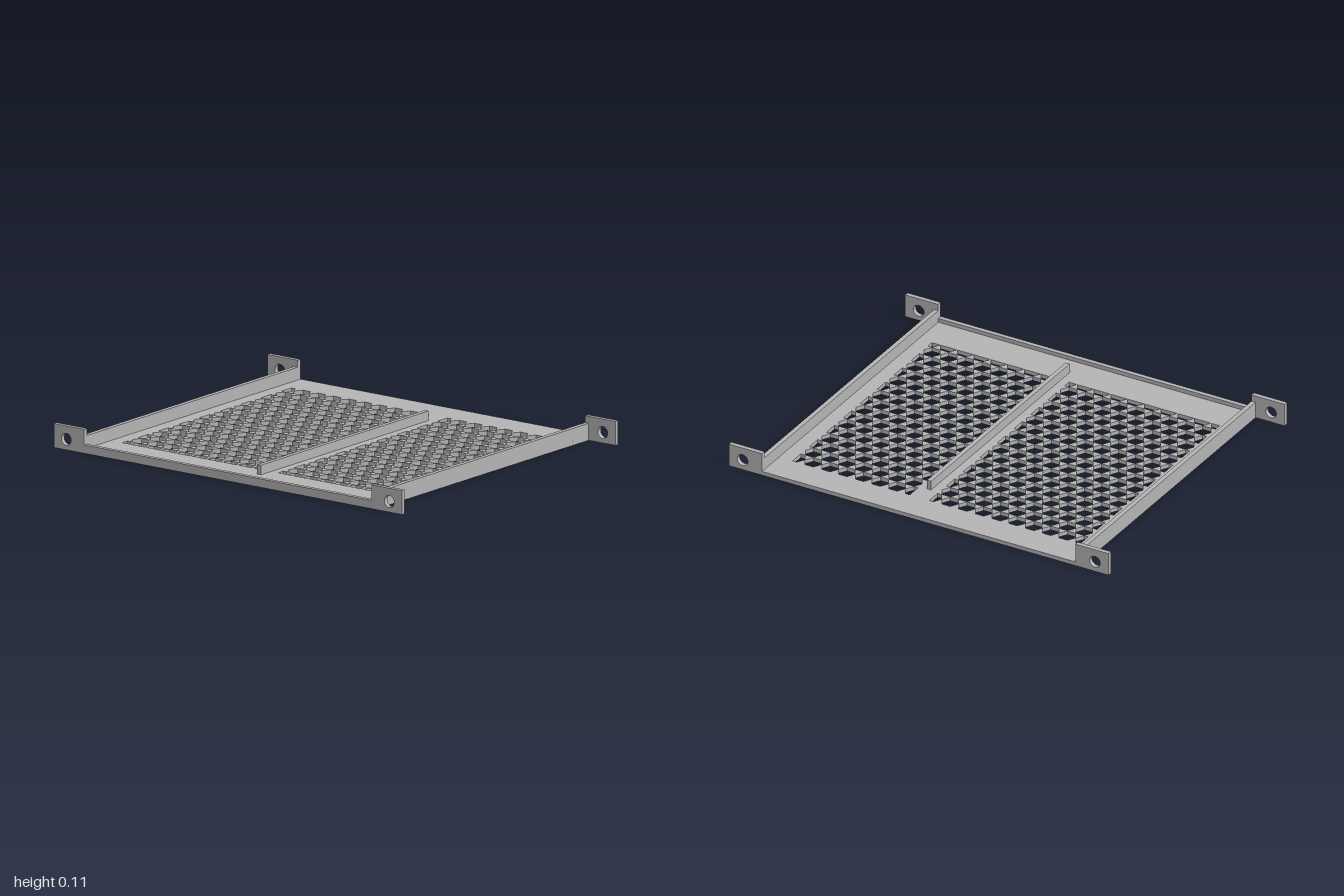
import * as THREE from 'three';

const PITCH = 0.0882;               // hexagon spacing along x
const ROW = PITCH * Math.sqrt(3) / 2; // spacing between rows along z
const THICK = 0.02;
const OUT_X = 0.847, IN_X = 0.825, OUT_Z = 0.806;

export function createModel() {
  const group = new THREE.Group();
  const metal = new THREE.MeshStandardMaterial({ color: 0xb4b4b4 });
  metal.name = 'grey metal';

  const add = (name, geometry) => {
    const mesh = new THREE.Mesh(geometry, metal);
    mesh.name = name;
    group.add(mesh);
    return mesh;
  };
  const box = (name, x0, x1, y0, y1, z0, z1) =>
    add(name, new THREE.BoxGeometry(x1 - x0, y1 - y0, z1 - z0))
      .position.set((x0 + x1) / 2, (y0 + y1) / 2, (z0 + z1) / 2);
  const rect = (x0, x1, y0, y1) => new THREE.Shape([
    new THREE.Vector2(x0, y0), new THREE.Vector2(x1, y0),
    new THREE.Vector2(x1, y1), new THREE.Vector2(x0, y1)]);

  // Perforated base plate, drawn in x and -z, then laid flat
  const plate = rect(-OUT_X, OUT_X, -OUT_Z, OUT_Z);
  const firstZ = -0.615, lastZ = firstZ + 16 * ROW;
  const perforate = (x0, columns) => {
    const x1 = x0 + columns * PITCH;
    for (let row = 0; row <= 16; row++) {
      const inset = row % 2 ? 0.5 : 0;
      for (let c = inset; c <= columns - inset; c++) {
        const points = [];
        for (let k = 0; k < 6; k++) {
          const a = k * Math.PI / 3, r = PITCH * 0.488;
          // hexagons are cut off at the panel borders
          const x = THREE.MathUtils.clamp(x0 + c * PITCH + r * Math.cos(a), x0, x1);
          const z = Math.min(firstZ + row * ROW + r * Math.sin(a), lastZ);
          const p = new THREE.Vector2(x, -z);
          if (!points.some(q => q.distanceTo(p) < 1e-5)) points.push(p);
        }
        plate.holes.push(new THREE.Path(points));
      }
    }
  };
  perforate(-0.76, 9);
  perforate(0.137, 7);
  const plateGeometry = new THREE.ExtrudeGeometry(plate, { depth: THICK, bevelEnabled: false });
  plateGeometry.rotateX(-Math.PI / 2);
  add('perforatedPlate', plateGeometry);

  // Off-centre rib and front lip
  box('rib', 0.075, 0.097, THICK, 0.065, -0.565, 0.686);
  box('frontLip', -IN_X, IN_X, THICK, 0.04, OUT_Z - 0.022, OUT_Z);

  // Side walls and the drilled mounting tabs at the corners
  for (const side of [-1, 1]) {
    const w = [side * IN_X, side * OUT_X].sort((a, b) => a - b);
    box(side > 0 ? 'leftWall' : 'rightWall', w[0], w[1], THICK, 0.08, -OUT_Z + 0.022, OUT_Z - 0.022);
    const t = [side * IN_X, side].sort((a, b) => a - b);
    for (const end of [-1, 1]) {
      const tab = rect(t[0], t[1], 0, 0.113);
      const hole = new THREE.Path();
      hole.absarc(side * 0.928, 0.05, 0.028, 0, Math.PI * 2, true);
      tab.holes.push(hole);
      const geometry = new THREE.ExtrudeGeometry(tab, { depth: 0.022, bevelEnabled: false, curveSegments: 24 });
      add((end > 0 ? 'front' : 'back') + (side > 0 ? 'Left' : 'Right') + 'Tab', geometry)
        .position.z = end > 0 ? OUT_Z - 0.022 : -OUT_Z;
    }
  }
  return group;
}
